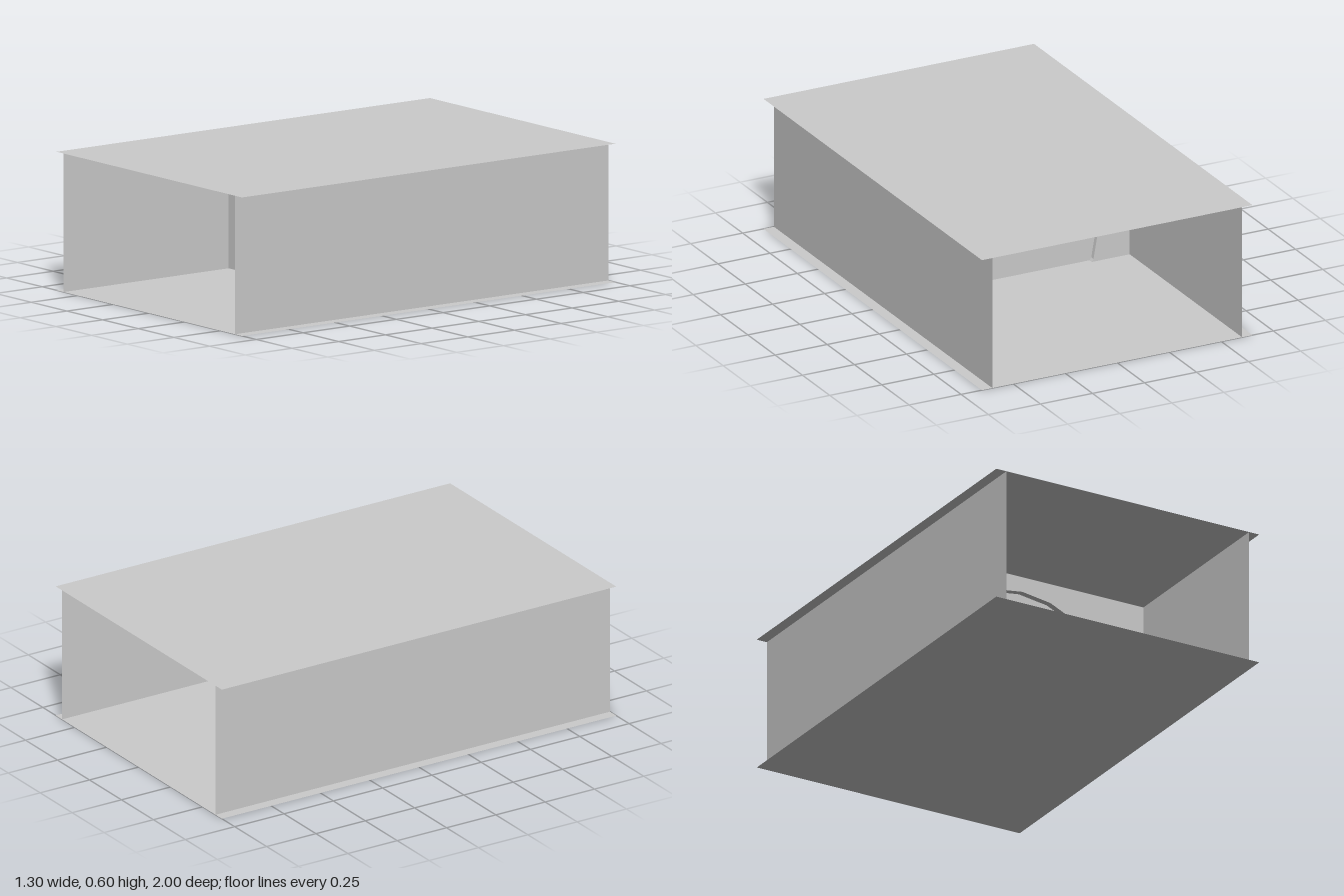
import * as THREE from 'three';

export function createModel() {
  const group = new THREE.Group();
  const W = 0.6, H = 0.6, PLATE = 1.3, LENGTH = 2, GAP = 0.001;
  const solid = new THREE.MeshStandardMaterial({ color: 0xcccccc, flatShading: true });
  const sheet = new THREE.MeshStandardMaterial({ color: 0xcccccc, side: THREE.DoubleSide });

  const add = (name, geometry, material) => {
    const mesh = new THREE.Mesh(geometry, material);
    mesh.name = name;
    group.add(mesh);
    return mesh;
  };

  // Floor and roof sheets, a little wider than the walls
  for (const [name, y] of [['floor', 0], ['roof', H]]) {
    add(name, new THREE.PlaneGeometry(PLATE, LENGTH).rotateX(-Math.PI / 2), sheet).position.y = y;
  }

  // Side walls
  for (const [name, side] of [['leftWall', 1], ['rightWall', -1]]) {
    const wall = add(name, new THREE.PlaneGeometry(LENGTH, H).rotateY(side * Math.PI / 2), sheet);
    wall.position.set(side * W, H / 2, 0);
  }

  // Faceted arch from the right foot over the crown to the left foot
  const arch = [new THREE.Vector2(0.417, GAP)];
  for (let i = -1; i <= 11; i++) {
    const a = i * Math.PI / 10;
    arch.push(new THREE.Vector2(0.447 * Math.cos(a), 0.135 + 0.395 * Math.sin(a)));
  }
  arch.push(new THREE.Vector2(-0.417, GAP));

  // Cross wall with the arch cut out of it
  const x = W - GAP, top = H - GAP;
  const wallShape = new THREE.Shape([
    ...arch,
    new THREE.Vector2(-x, GAP), new THREE.Vector2(-x, top),
    new THREE.Vector2(x, top), new THREE.Vector2(x, GAP),
  ]);
  const extrude = (shape, depth) => new THREE.ExtrudeGeometry(shape, { depth, bevelEnabled: false });
  add('crossWall', extrude(wallShape, 0.092), solid).position.z = 0.027;

  // Thinner panel recessed in the arch
  add('archPanel', extrude(new THREE.Shape(arch), 0.042), solid).position.z = 0.048;

  return group;
}
